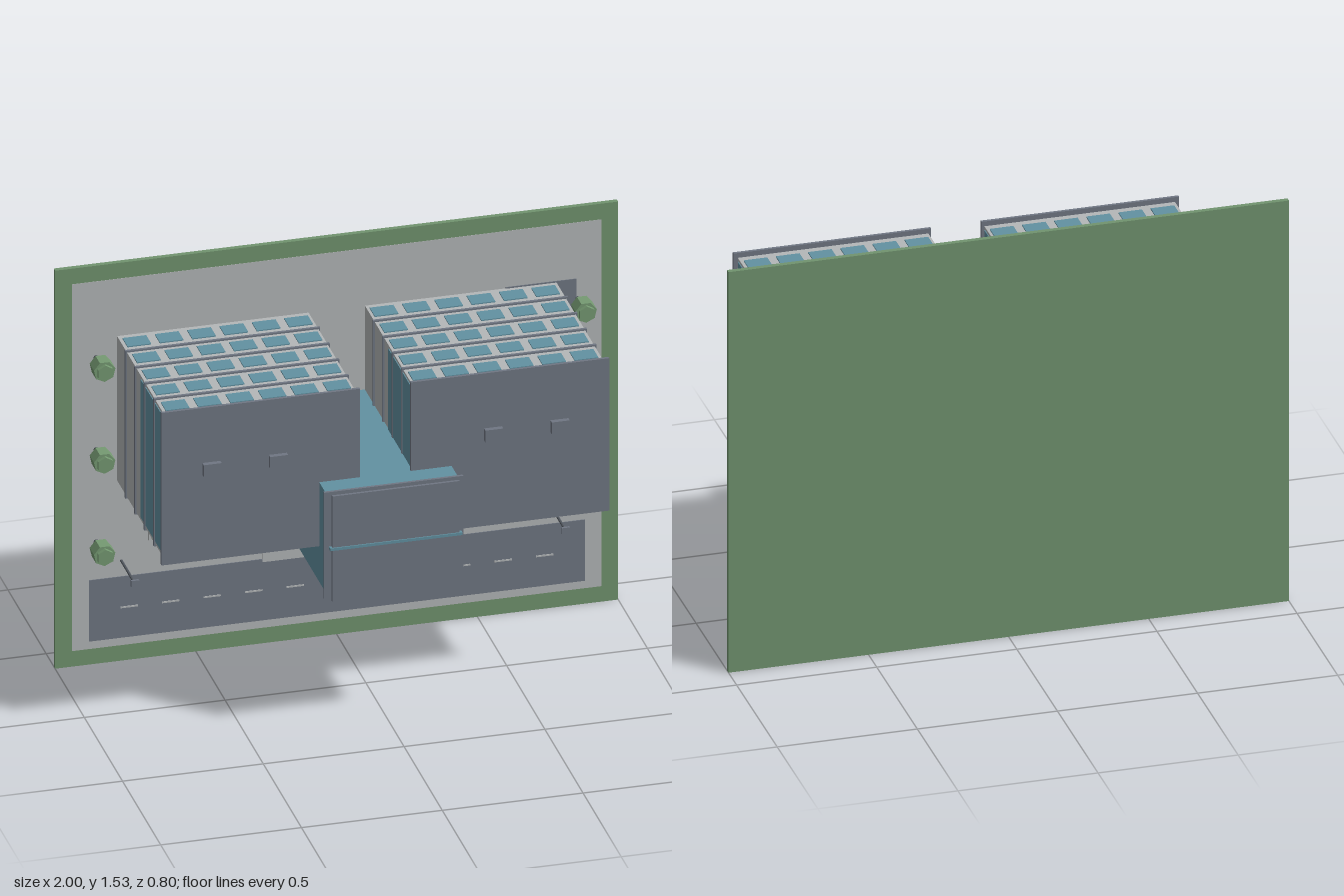
import * as THREE from 'three';

const mat = (name, color) => Object.assign(new THREE.MeshStandardMaterial({ color }), { name });

export function createModel() {
  const model = new THREE.Group();
  const grass = mat('grass green', 0x71946f);
  const leaf = mat('leaf green', 0x759a72);
  const slate = mat('slate grey', 0x707783);
  const stone = mat('pale stone', 0xb4b7b8);
  const glass = mat('blue glass', 0x6292a2);
  const dark = mat('dark metal', 0x565c64);

  // Box given by its limits on each axis
  const box = (name, m, x0, x1, y0, y1, z0, z1, parent = model) => {
    const mesh = new THREE.Mesh(new THREE.BoxGeometry(x1 - x0, y1 - y0, z1 - z0), m);
    mesh.position.set((x0 + x1) / 2, (y0 + y1) / 2, (z0 + z1) / 2);
    mesh.name = name;
    parent.add(mesh);
    return mesh;
  };
  // Cylinder standing out from the ground slab along z
  const post = (name, m, x, y, z0, z1, r, sides, parent = model) => {
    const g = new THREE.CylinderGeometry(r, r, z1 - z0, sides).toNonIndexed();
    g.computeVertexNormals();
    g.rotateX(Math.PI / 2);
    const mesh = new THREE.Mesh(g, m);
    mesh.position.set(x, y, (z0 + z1) / 2);
    mesh.name = name;
    parent.add(mesh);
  };
  const group = (name) => {
    const g = new THREE.Group();
    g.name = name;
    model.add(g);
    return g;
  };

  // Site: the ground slab stands upright, everything rises from it towards +z
  const G = -0.382;
  box('ground', grass, -1, 1, 0, 1.53, -0.4, G);
  box('paving', stone, -0.94, 0.94, 0.06, 1.47, G - 0.004, G + 0.001);
  box('road', slate, -0.88, 0.88, 0.09, 0.325, G, G + 0.004);
  box('parkingStrip', slate, 0.6, 0.85, 0.87, 1.255, G, G + 0.004);
  box('forecourt', stone, -0.265, 0.265, 0.315, 0.485, G, G + 0.007);
  box('entranceStep', slate, -0.21, 0.205, 0.4, 0.44, G, G + 0.012);
  for (let i = 0; i < 11; i++) {
    const x = -0.738 + i * 0.1475;
    box('roadDash', stone, x - 0.031, x + 0.031, 0.204, 0.21, G, G + 0.006);
  }

  // Two mirrored wings of five storeys
  const floorLines = [-0.256, -0.131, -0.006, 0.118];
  for (const s of [-1, 1]) {
    const wing = group(s > 0 ? 'leftWing' : 'rightWing');
    const b = (name, m, x0, x1, ...rest) =>
      box(name, m, Math.min(s * x0, s * x1), Math.max(s * x0, s * x1), ...rest, wing);
    b('wingBody', stone, 0.1, 0.78, 0.695, 1.25, G, 0.245);
    b('wingRoof', slate, 0.09, 0.795, 0.682, 1.268, 0.245, 0.256);
    for (const z of floorLines)
      b('floorBand', slate, 0.094, 0.786, 0.689, 1.256, z - 0.005, z + 0.005);

    // Glazed end walls
    b('outerGlazing', glass, 0.78, 0.783, 0.71, 1.24, -0.065, 0.235);
    b('innerGlazing', glass, 0.097, 0.1, 0.71, 1.24, -0.065, 0.235);

    // Windows on both long faces
    for (let f = 0; f < 5; f++) {
      const z = -0.322 + f * 0.1255;
      for (let i = 0; i < 6; i++) {
        const x = 0.152 + i * 0.1148;
        b('window', glass, x - 0.042, x + 0.042, 1.25, 1.254, z - 0.033, z + 0.033);
        b('window', glass, x - 0.042, x + 0.042, 0.691, 0.695, z - 0.033, z + 0.033);
      }
    }
    for (const x of [0.382, 0.618])
      b('roofUnit', slate, x - 0.032, x + 0.032, 1.012, 1.057, 0.256, 0.274);
  }

  // Central glazed hall with a stepped roof
  const hall = group('centralHall');
  box('hallGlass', glass, -0.235, 0.235, 0.545, 0.928, G, 0.355, hall);
  box('hallRoof', slate, -0.247, 0.247, 0.533, 0.942, 0.355, 0.365, hall);
  box('roofCore', stone, -0.215, 0.215, 0.548, 0.928, 0.365, 0.386, hall);
  box('upperRoof', slate, -0.226, 0.226, 0.535, 0.94, 0.386, 0.396, hall);
  box('roofStripe', glass, -0.235, 0.235, 0.733, 0.743, 0.384, 0.4, hall);
  box('entranceDoor', dark, -0.11, 0.11, 0.535, 0.545, G, -0.275, hall);
  box('entranceCanopy', slate, -0.15, 0.15, 0.455, 0.545, -0.272, -0.26, hall);

  // Trees in a row on each side
  for (const s of [-1, 1]) for (const y of [0.47, 0.825, 1.178]) {
    const tree = group('tree');
    post('trunk', dark, s * 0.855, y, G, -0.31, 0.009, 8, tree);
    post('lowerCrown', leaf, s * 0.855, y, -0.325, -0.268, 0.039, 7, tree);
    post('upperCrown', leaf, s * 0.855, y, -0.27, -0.254, 0.03, 6, tree);
  }

  // Planters with two shrubs each
  for (const x of [-0.625, -0.39, 0.375, 0.615]) {
    const planter = group('planter');
    box('planterBox', stone, x - 0.046, x + 0.046, 0.455, 0.487, G, G + 0.014, planter);
    for (const d of [-0.026, 0.026])
      post('shrub', leaf, x + d, 0.471, G + 0.01, G + 0.028, 0.013, 8, planter);
  }

  // Thin upright panels and lamp posts
  for (const x of [-0.69, -0.575, 0.6, 0.722])
    box('uprightPanel', dark, x - 0.022, x + 0.022, 0.587, 0.594, G, -0.215);
  for (const x of [-0.765, 0.765]) {
    const lamp = group('lampPost');
    post('lampPole', dark, x, 0.385, G, -0.2, 0.005, 8, lamp);
    box('lampHead', slate, x - 0.014, x + 0.014, 0.373, 0.397, -0.208, -0.198, lamp);
  }
  return model;
}
